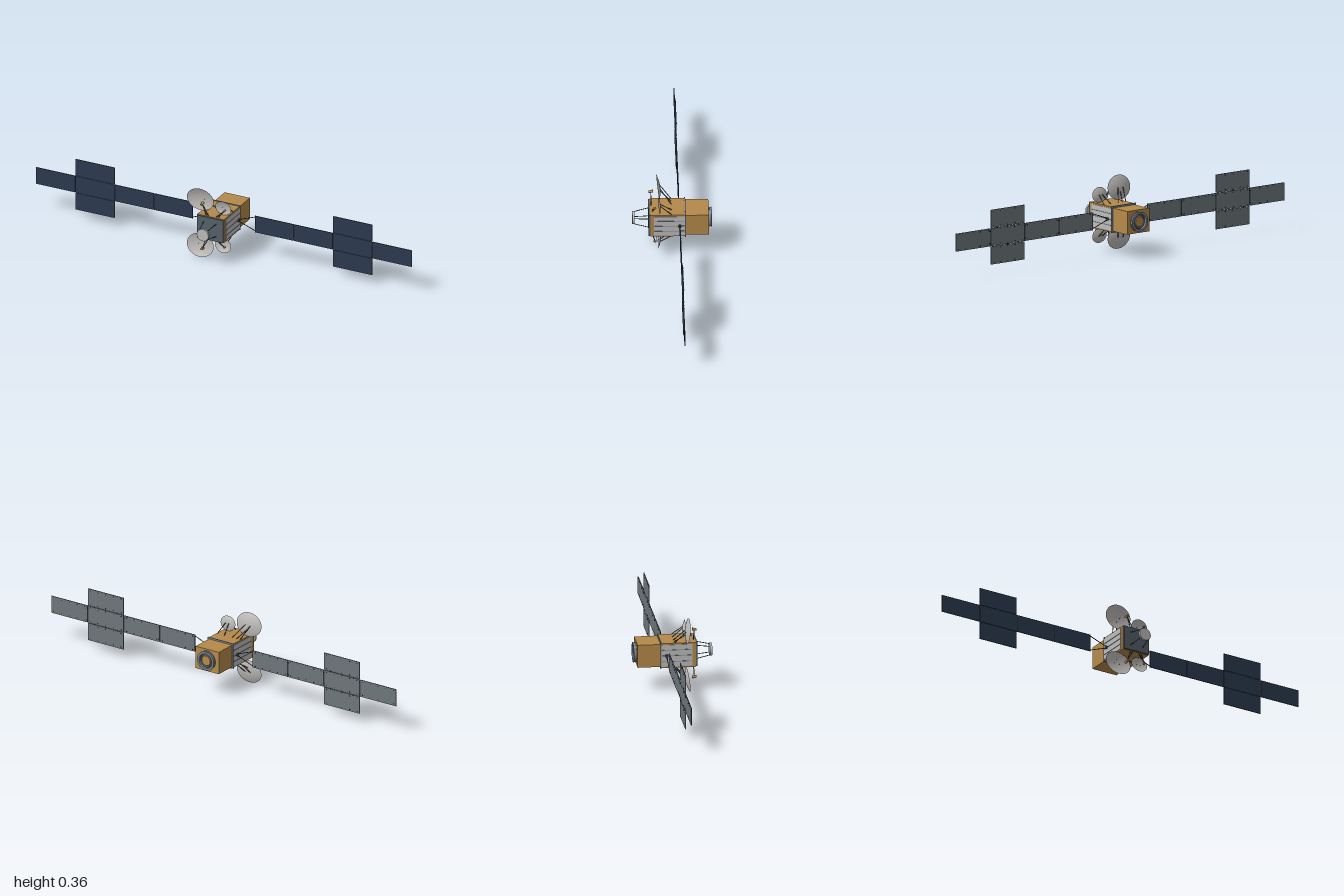
import * as THREE from 'three';

const mat = (name, color, side = THREE.FrontSide) => {
  const m = new THREE.MeshStandardMaterial({ color, side });
  m.name = name;
  return m;
};

export function createModel() {
  const gold = mat('gold foil', 0xb58a4a);
  const silver = mat('silver radiator', 0xbcbcbc);
  const dishGrey = mat('dish grey', 0xbdbbb8, THREE.DoubleSide);
  const slate = mat('slate deck', 0x53616a);
  const steel = mat('steel blue', 0x7d8894);
  const rodGrey = mat('rod grey', 0x4e5254);
  const cells = mat('solar cells', 0x2b3a4f);
  const backing = mat('panel backing', 0x6e777c);
  const dark = mat('dark hinge', 0x24282c);

  const model = new THREE.Group();
  model.name = 'satellite';
  const CY = 0.18; // height of the body axis

  const add = (name, geo, m, x = 0, y = 0, z = 0, parent = model) => {
    const mesh = new THREE.Mesh(geo, m);
    mesh.name = name;
    mesh.position.set(x, y, z);
    parent.add(mesh);
    return mesh;
  };
  const box = (name, w, h, d, m, x, y, z, parent) =>
    add(name, new THREE.BoxGeometry(w, h, d), m, x, y, z, parent);
  // Round bar between two points
  const rod = (name, a, b, r, m = rodGrey, parent = model) => {
    const p = new THREE.Vector3(...a), q = new THREE.Vector3(...b);
    const dir = q.clone().sub(p);
    const mesh = add(name, new THREE.CylinderGeometry(r, r, dir.length(), 8), m, 0, 0, 0, parent);
    mesh.position.copy(p).add(q).multiplyScalar(0.5);
    mesh.quaternion.setFromUnitVectors(new THREE.Vector3(0, 1, 0), dir.normalize());
    return mesh;
  };
  // Cylinder lying along z; r1 is the front radius, r2 the rear radius
  const drum = (name, r1, r2, len, m, x, y, z, sides = 32) =>
    add(name, new THREE.CylinderGeometry(r1, r2, len, sides).rotateX(Math.PI / 2), m, x, y, z);

  // Body
  box('frontBus', 0.142, 0.122, 0.168, gold, 0, CY, 0.021);
  box('rearBus', 0.134, 0.112, 0.11, gold, 0, CY, -0.118);
  box('collar', 0.148, 0.128, 0.005, steel, 0, CY, -0.0615);
  box('frontDeck', 0.138, 0.118, 0.008, slate, 0, CY, 0.109);

  // Side radiators with heat pipes
  for (const s of [-1, 1]) {
    box('radiator', 0.004, 0.108, 0.147, silver, s * 0.072, CY, 0.0135);
    for (const dy of [-0.029, 0, 0.028])
      box('heatPipe', 0.003, 0.003, 0.143, steel, s * 0.0745, CY + dy, 0.0135);
  }

  // Rear engine ring: hollow outer ring, inner ring and foil cap
  const ringProfile = [[0.037, 0], [0.048, 0], [0.048, 0.003], [0.046, 0.0035], [0.046, 0.0115],
    [0.048, 0.012], [0.048, 0.015], [0.037, 0.015], [0.037, 0]];
  const ringGeo = new THREE.LatheGeometry(
    ringProfile.map(p => new THREE.Vector2(...p)), 40).toNonIndexed();
  ringGeo.computeVertexNormals();
  ringGeo.rotateX(-Math.PI / 2);
  add('rearRing', ringGeo, steel, 0, CY, -0.173);
  drum('rearWell', 0.037, 0.037, 0.004, rodGrey, 0, CY, -0.174);
  drum('rearCap', 0.03, 0.024, 0.01, gold, 0, CY, -0.178);
  add('rearInnerRing', new THREE.TorusGeometry(0.03, 0.003, 8, 32), steel, 0, CY, -0.179);

  // Front antenna disc on four struts
  drum('frontDisc', 0.031, 0.031, 0.011, silver, 0, CY, 0.1835, 24);
  for (const sx of [-1, 1]) for (const sy of [-1, 1])
    rod('discStrut', [sx * 0.033, CY + sy * 0.033, 0.112], [sx * 0.021, CY + sy * 0.021, 0.18], 0.0018);

  // Reflector dish: shallow oval bowl opening to the front
  const dish = (name, x, y, z, rx, ry, depth, tilt, turn) => {
    const pts = [];
    for (let i = 0; i <= 8; i++) pts.push(new THREE.Vector2(i / 8, (i / 8) ** 2));
    const geo = new THREE.LatheGeometry(pts, 40);
    geo.rotateX(Math.PI / 2);
    geo.scale(rx, ry, depth);
    const mesh = add(name, geo, dishGrey, x, y, z);
    mesh.rotation.set(tilt, turn, 0);
  };
  // Feed horn on its two-legged mast
  const feed = (x, y, z, r, len, baseX, baseY, baseZ, s) => {
    const horn = drum('feedHorn', r * 0.75, r, len, gold, x, y, z, 16);
    horn.rotation.x = s * 0.15;
    rod('feedMast', [baseX - 0.006, baseY, baseZ], [x, y, z], 0.002);
    rod('feedMast', [baseX + 0.006, baseY, baseZ], [x, y, z], 0.002);
  };
  // Upper and lower dishes mirror each other
  for (const s of [-1, 1]) {
    const Y = d => CY + s * d;
    dish('largeDish', -0.075, Y(0.121), 0.054, 0.07, 0.0595, 0.012, s * 0.11, 0.03);
    dish('smallDish', 0.046, Y(0.099), 0.055, 0.043, 0.037, 0.008, s * 0.11, -0.02);
    feed(-0.047, Y(0.118), 0.1, 0.0075, 0.021, -0.02, Y(0.06), 0.099, s);
    feed(0.062, Y(0.096), 0.083, 0.005, 0.012, 0.03, Y(0.06), 0.095, s);
    // Braces from the body to the dish backs
    rod('dishBrace', [-0.066, Y(0.06), 0.003], [-0.09, Y(0.12), 0.054], 0.002);
    rod('dishBrace', [-0.02, Y(0.06), 0.003], [-0.06, Y(0.12), 0.054], 0.002);
    rod('dishBrace', [-0.045, Y(0.06), 0.003], [-0.075, Y(0.1), 0.055], 0.002);
    rod('dishBrace', [0.066, Y(0.06), 0.003], [0.055, Y(0.1), 0.055], 0.002);
    rod('dishBrace', [0.025, Y(0.06), 0.003], [0.037, Y(0.1), 0.055], 0.002);
  }

  // Solar wings
  const PZ = -0.035, H = 0.086;
  const panel = (x0, x1, y, h, s, wing) => {
    const w = x1 - x0, x = s * (x0 + x1) / 2;
    box('solarCells', w, h, 0.002, cells, x, y, PZ + 0.001, wing);
    box('panelBacking', w, h, 0.002, backing, x, y, PZ - 0.001, wing);
    // Small fittings on the back
    for (let i = 0; i < 5; i++) for (const e of [-1, 1])
      box('backFitting', 0.004, 0.004, 0.001, dark, x + (i / 4 - 0.5) * w * 0.86, y + e * h * 0.4, PZ - 0.0024, wing);
  };
  for (const s of [-1, 1]) {
    const wing = new THREE.Group();
    wing.name = s > 0 ? 'leftWing' : 'rightWing';
    model.add(wing);
    const joints = [0.167, 0.374, 0.582, 0.791, 1.0];
    for (let i = 0; i < 4; i++) {
      panel(joints[i], joints[i + 1] - (i < 3 ? 0.003 : 0), CY, H, s, wing);
      if (i) for (const e of [-1, 1])
        box('panelHinge', 0.01, 0.006, 0.003, dark, s * (joints[i] - 0.0015), CY + e * 0.03, PZ - 0.001, wing);
    }
    // Fold-out panels above and below the third panel
    for (const e of [-1, 1]) {
      panel(0.582, 0.788, CY + e * 0.0885, 0.087, s, wing);
      for (const x of [0.62, 0.685, 0.75])
        box('flapHinge', 0.006, 0.01, 0.003, dark, s * x, CY + e * 0.044, PZ - 0.001, wing);
      // Yoke arm
      rod('yokeArm', [s * 0.078, CY + e * 0.004, PZ], [s * 0.168, CY + e * 0.037, PZ], 0.0018, dark, wing);
    }
    box('yokeBar', 0.004, H, 0.004, dark, s * 0.168, CY, PZ, wing);
    add('wingHub', new THREE.CylinderGeometry(0.008, 0.008, 0.012, 20).rotateZ(Math.PI / 2),
      rodGrey, s * 0.075, CY, PZ, wing);
  }
  return model;
}
